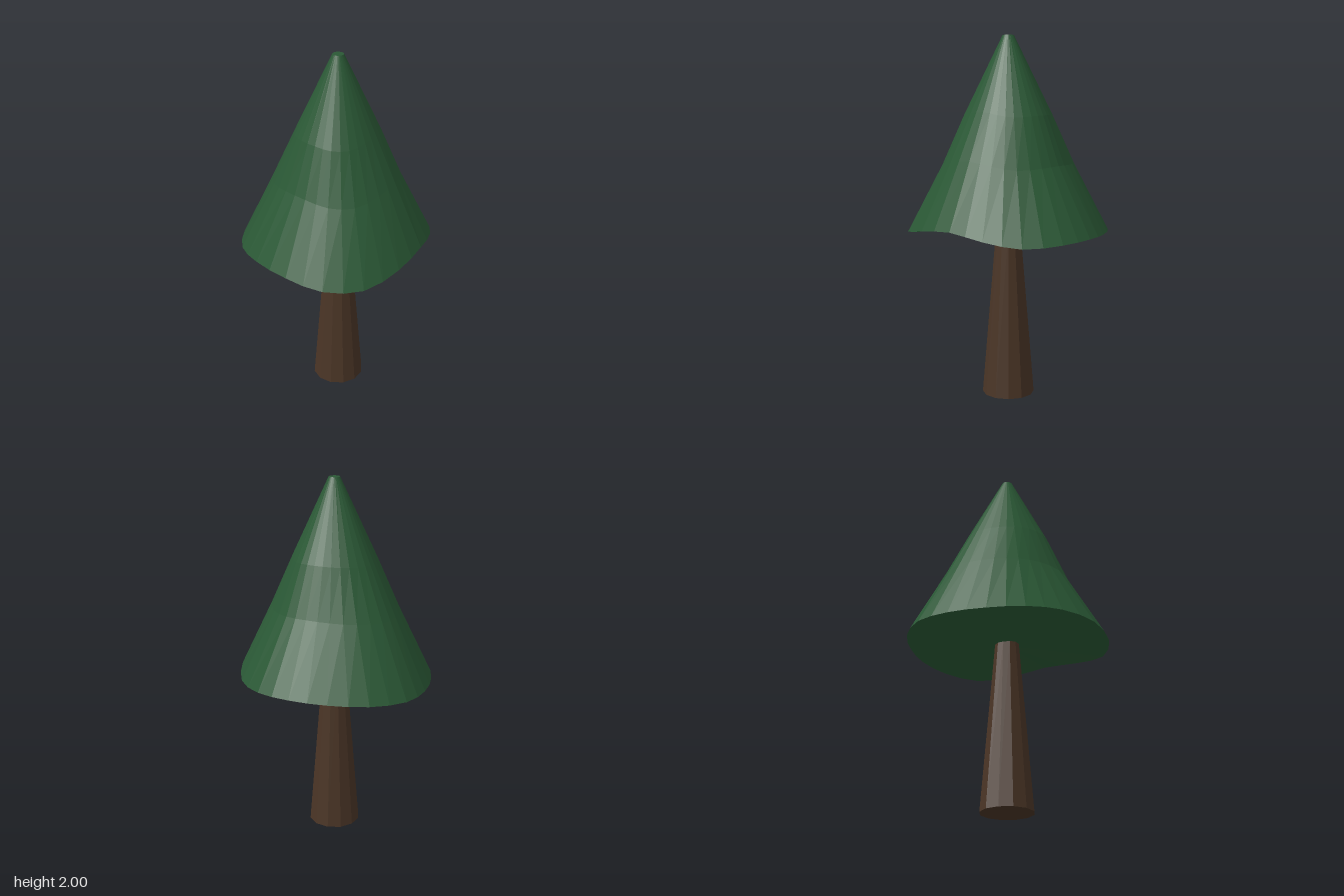
import * as THREE from 'three';

const SIDES = 32;

// Wavy lower edge of the foliage, running back, +x, front, -x
const rim = new THREE.CatmullRomCurve3([
  [-0.04, 0.93, -0.56], [0.17, 0.94, -0.51], [0.35, 0.95, -0.42], [0.48, 0.945, -0.27],
  [0.53, 0.935, -0.06], [0.49, 0.965, 0.14], [0.385, 0.995, 0.31], [0.22, 0.97, 0.465],
  [0.01, 0.93, 0.555], [-0.2, 0.935, 0.525], [-0.365, 0.955, 0.39], [-0.485, 0.945, 0.185],
  [-0.535, 0.92, -0.02], [-0.495, 0.91, -0.215], [-0.395, 0.913, -0.395], [-0.25, 0.92, -0.525],
].map((p) => new THREE.Vector3(...p)), true);

// Cone swept from a small flat tip to the wavy rim, closed above and below
function foliageGeometry() {
  const positions = [];
  const indices = [];
  const levels = [0, 0.4, 0.65, 1];
  const id = (ring, i) => ring * SIDES + (i % SIDES);

  levels.forEach((t, ring) => {
    for (let i = 0; i < SIDES; i++) {
      const edge = rim.getPoint(i / SIDES);
      const radius = Math.hypot(edge.x, edge.z);
      const cx = edge.x / radius;
      const cz = edge.z / radius;
      // Slight hollow above the rim along one diagonal
      const dip = ring === 2 ? 0.025 * ((cx - cz) ** 2) / 2 : 0;
      const r = THREE.MathUtils.lerp(0.03, radius, t) - dip;
      positions.push(cx * r, THREE.MathUtils.lerp(2, edge.y, t), cz * r);
    }
  });
  const last = levels.length - 1;
  const tip = positions.length / 3;
  positions.push(0, 2, 0, 0, 0.94, 0);

  for (let i = 0; i < SIDES; i++) {
    for (let k = 0; k < last; k++) {
      const a = id(k, i), b = id(k, i + 1), c = id(k + 1, i + 1), d = id(k + 1, i);
      indices.push(a, b, c, a, c, d);
    }
    indices.push(tip, id(0, i + 1), id(0, i));
    indices.push(tip + 1, id(last, i), id(last, i + 1));
  }

  const geometry = new THREE.BufferGeometry();
  geometry.setAttribute('position', new THREE.Float32BufferAttribute(positions, 3));
  geometry.setIndex(indices);
  const flat = geometry.toNonIndexed();
  flat.computeVertexNormals();
  return flat;
}

export function createModel() {
  const model = new THREE.Group();
  model.name = 'tree';

  // Tapered trunk, its top just inside the foliage
  const trunk = new THREE.Mesh(
    new THREE.CylinderGeometry(0.067, 0.145, 0.95, 12),
    new THREE.MeshStandardMaterial({ color: 0x4a3526, flatShading: true }),
  );
  trunk.name = 'trunk';
  trunk.position.y = 0.475;

  const foliage = new THREE.Mesh(
    foliageGeometry(),
    new THREE.MeshStandardMaterial({ color: 0x2a5835, flatShading: true }),
  );
  foliage.name = 'foliage';

  model.add(trunk, foliage);
  return model;
}
